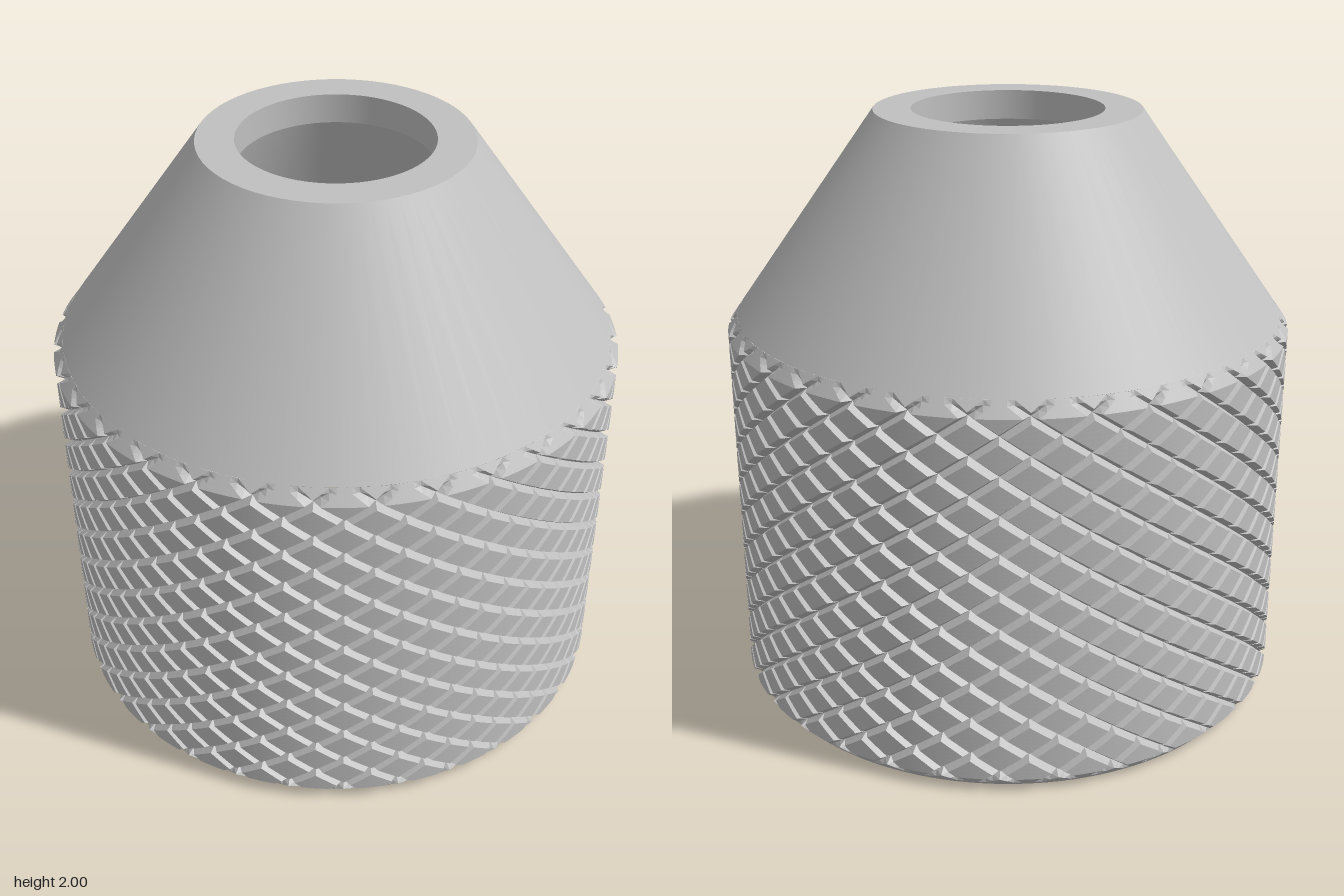
import * as THREE from 'three';

const TAU = Math.PI * 2;
const R = 0.955, DEPTH = 0.03, BODY_TOP = 1.28, TOP = 2, RIM = 0.445;
const STARTS = 32, STEPS = 8, ROW = 0.128; // knurl grooves per turn, grid steps per diamond, diamond height

const coneRadius = (y) => R - (y - BODY_TOP) * (R - RIM) / (TOP - BODY_TOP);

// Outer knurled radius: two crossing sets of V grooves, cut by the cone above and the chamfer below
function knurlRadius(theta, y) {
  const a = theta * STARTS / TAU + 0.5, b = y / ROW;
  const groove = (t) => Math.max(0, 1 - Math.abs(t - Math.round(t)) * STEPS);
  const r = R - DEPTH * Math.max(groove(a + b), groove(a - b));
  return Math.min(r, coneRadius(y), 0.91 + y * 0.94);
}

// Inner thread radius: trapezoid ridge on a helix, fading out at the top and flared at the mouth
const PITCH = 0.28, CREST = 0.6, VALLEY = 0.71, BORE_TOP = 1.2;
function threadRadius(theta, y) {
  const s = y / PITCH - theta / TAU;
  const t = s - Math.floor(s + 1e-6);
  let cut = t < 0.25 ? 0 : t < 0.5 ? (t - 0.25) * 4 : t < 0.75 ? 1 : (1 - t) * 4;
  cut *= THREE.MathUtils.clamp((1.05 - y) / 0.1, 0, 1);
  return Math.max(CREST + (VALLEY - CREST) * cut, 0.73 - y);
}

// Wall of revolution with a varying radius; every quad is split around its centre
function wall(cols, rows, heightAt, radiusAt, inward) {
  const pos = [];
  const point = (i, j) => {
    const th = i / cols * TAU, y = heightAt(i, j), r = radiusAt(th, y);
    return [r * Math.sin(th), y, r * Math.cos(th)];
  };
  for (let i = 0; i < cols; i++) {
    for (let j = 0; j < rows; j++) {
      const c = point(i + 0.5, j + 0.5);
      const q = [point(i, j), point(i + 1, j), point(i + 1, j + 1), point(i, j + 1)];
      for (let k = 0; k < 4; k++) {
        const a = q[k], b = q[(k + 1) % 4];
        pos.push(...(inward ? b : a), ...(inward ? a : b), ...c);
      }
    }
  }
  const g = new THREE.BufferGeometry();
  g.setAttribute('position', new THREE.Float32BufferAttribute(pos, 3));
  g.computeVertexNormals();
  return g;
}

// Straight section between two [radius, y] points
const band = (a, b) => new THREE.LatheGeometry([new THREE.Vector2(...a), new THREE.Vector2(...b)], 64);

export function createModel() {
  const group = new THREE.Group();
  const steel = new THREE.MeshStandardMaterial({ color: 0xc0c0c0 });
  steel.name = 'steel grey';
  const add = (name, geometry) => {
    const mesh = new THREE.Mesh(geometry, steel);
    mesh.name = name;
    group.add(mesh);
  };

  // Knurled grip, running slightly into the foot of the cone
  const step = ROW / STEPS, rows = Math.round(BODY_TOP / step) + 3;
  add('knurledGrip', wall(STARTS * STEPS, rows, (i, j) => j * step, knurlRadius, false));

  // Tapered nose with its flat rim and short bore
  const join = rows * step;
  add('taperedNose', band([coneRadius(join), join], [RIM, TOP]));
  add('topRim', band([RIM, TOP], [0.32, TOP]));
  add('topBore', band([0.32, TOP], [0.32, 1.9]));

  // Hollow inside: conical cavity above the threaded bore
  add('innerCone', band([0.32, 1.9], [CREST, BORE_TOP]));
  const threadRows = Math.ceil(BORE_TOP / PITCH + 1) * 8;
  const threadHeight = (i, j) =>
    THREE.MathUtils.clamp((j / 8 - 1 + i / 64) * PITCH, 0, BORE_TOP);
  add('threadedBore', wall(64, threadRows, threadHeight, threadRadius, true));

  // Flat base ring
  add('baseRing', band([0.72, 0], [0.91, 0]));
  return group;
}
